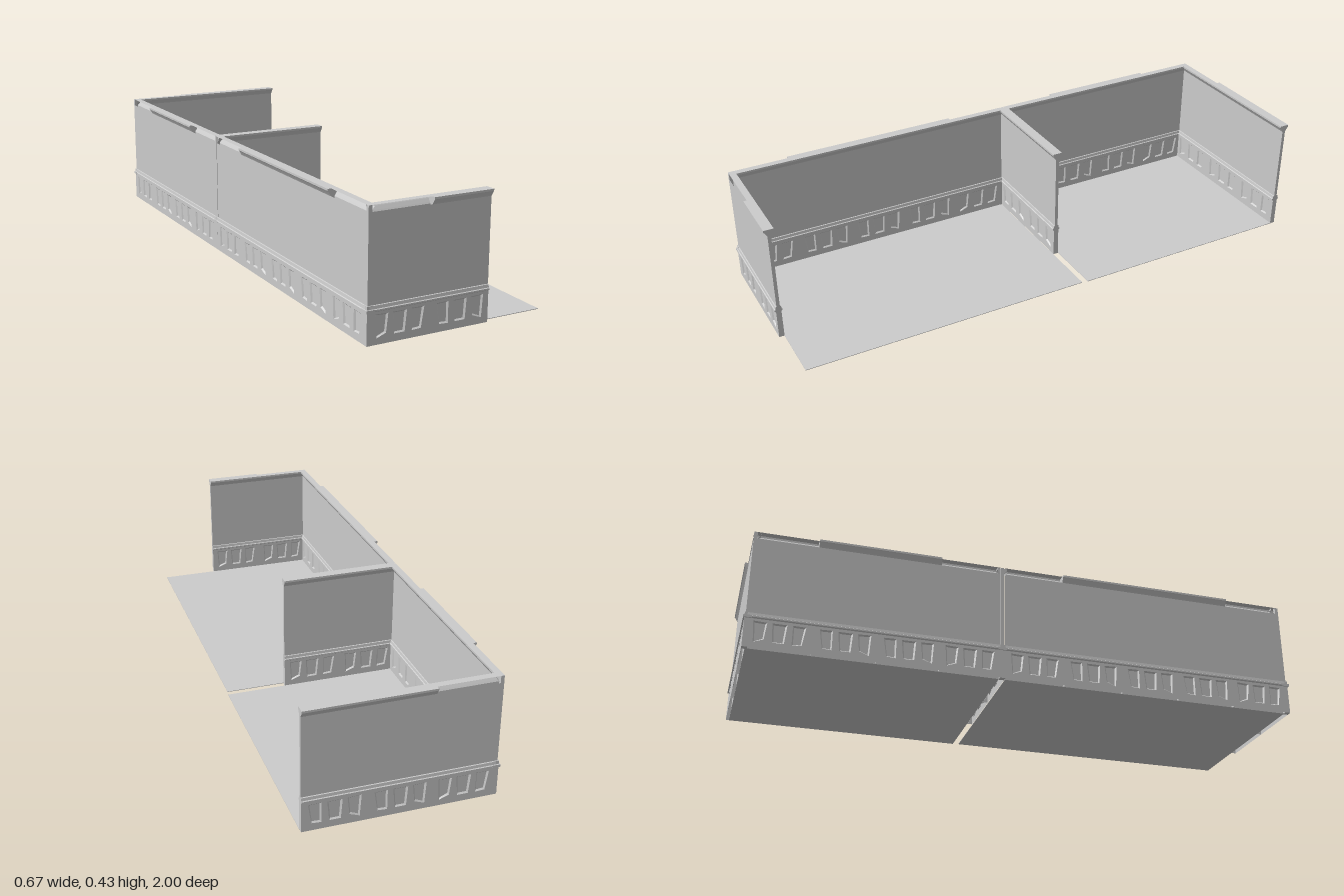
import * as THREE from 'three';
import { mergeGeometries } from 'three/addons/utils/BufferGeometryUtils.js';

const MODULE = 0.216, TOP = 0.434, DADO = 0.105, DADO_D = 0.0095, WALL_D = 0.006;
const mat = new THREE.MeshStandardMaterial({ color: 0xcccccc, flatShading: true, side: THREE.DoubleSide });

// Half profiles [distance from wall centre, height]
const chairRail = [[DADO_D, DADO], [0.014, 0.108], [0.014, 0.113], [0.011, 0.115], [0.0095, 0.125], [WALL_D, 0.126]];
const wallFace = [[WALL_D, 0.126], [WALL_D, 0.409]];
const cornice = [[WALL_D, 0.409], [0.009, 0.414], [0.0155, 0.424], [0.018, 0.427], [0.018, TOP]];

// Crooked dado panels, as corners relative to the middle of a module
const panels = [
  [[-0.086, 0.095], [-0.042, 0.096], [-0.042, 0.024], [-0.075, 0.026]],
  [[-0.024, 0.095], [0.026, 0.095], [0.021, 0.025], [-0.017, 0.025]],
  [[0.042, 0.095], [0.088, 0.097], [0.083, 0.020], [0.049, 0.033]],
];

function quadGeometry(points, flip) {
  const order = flip ? [0, 2, 1, 0, 3, 2] : [0, 1, 2, 0, 2, 3];
  const geo = new THREE.BufferGeometry();
  geo.setAttribute('position', new THREE.Float32BufferAttribute(order.flatMap(i => points[i]), 3));
  return geo;
}

function bare(geo) {
  const g = geo.index ? geo.toNonIndexed() : geo;
  g.deleteAttribute('uv');
  g.deleteAttribute('normal');
  return g;
}

// Profile swept straight along one module; side is 1 outside, -1 inside
function sweep(profile, u0, side) {
  const u1 = u0 + MODULE;
  return profile.slice(1).map(([d, y], i) => {
    const [d0, y0] = profile[i];
    return quadGeometry([[u0, y0, side * d0], [u1, y0, side * d0], [u1, y, side * d], [u0, y, side * d]], side < 0);
  });
}

// Dado board with sunken, bevelled panels
function dado(u0, side, flip) {
  const parts = [], mid = u0 + MODULE / 2;
  const board = new THREE.Shape([[u0, 0], [u0 + MODULE, 0], [u0 + MODULE, DADO], [u0, DADO]].map(p => new THREE.Vector2(...p)));
  for (const panel of panels) {
    let rim = panel.map(([x, y]) => [mid + (flip ? -x : x), y]);
    if (flip) rim = [rim[1], rim[0], rim[3], rim[2]];
    board.holes.push(new THREE.Path(rim.map(p => new THREE.Vector2(...p))));
    const cx = rim.reduce((s, p) => s + p[0], 0) / 4, cy = rim.reduce((s, p) => s + p[1], 0) / 4;
    const outer = rim.map(([x, y]) => [x, y, side * DADO_D]);
    const inner = rim.map(([x, y]) => [cx + (x - cx) * 0.76, cy + (y - cy) * 0.87, side * (DADO_D - 0.005)]);
    for (let i = 0; i < 4; i++) {
      const j = (i + 1) % 4;
      parts.push(quadGeometry([outer[i], inner[i], inner[j], outer[j]], side < 0));
    }
    parts.push(quadGeometry(inner, side > 0));
  }
  const face = bare(new THREE.ShapeGeometry(board));
  face.translate(0, 0, DADO_D);
  if (side < 0) {
    // Mirror to the inner side and reverse the corner order
    const p = face.attributes.position, pts = [];
    for (let i = 0; i < p.count; i += 3)
      for (const k of [i, i + 2, i + 1]) pts.push(p.getX(k), p.getY(k), -p.getZ(k));
    face.setAttribute('position', new THREE.Float32BufferAttribute(pts, 3));
  }
  parts.push(face);
  return parts;
}

// Solid end of a wall with cornices on both sides
function endCap(u) {
  const half = [[DADO_D, 0], ...chairRail, ...wallFace.slice(1), ...cornice.slice(1)];
  const outline = [...half, ...half.map(([d, y]) => [-d, y]).reverse()];
  const geo = bare(new THREE.ShapeGeometry(new THREE.Shape(outline.map(p => new THREE.Vector2(...p)))));
  geo.rotateY(Math.PI / 2);
  return geo.translate(u, 0, 0);
}

// Pattern: F has a cornice on both sides, P only inside
function makeWall(name, pattern, x, z, turn, flipInside) {
  const group = new THREE.Group();
  group.name = name;
  const dados = [], faces = [], trims = [], ends = [];
  [...pattern].forEach((type, i) => {
    const u0 = i * MODULE, u1 = u0 + MODULE, full = type === 'F';
    for (const side of [1, -1]) {
      dados.push(...dado(u0, side, side > 0 ? !full : full && flipInside));
      faces.push(...sweep(wallFace, u0, side));
      trims.push(...sweep(chairRail, u0, side));
      if (full || side < 0) trims.push(...sweep(cornice, u0, side));
    }
    const d = full ? 0.018 : WALL_D;
    trims.push(quadGeometry([[u0, TOP, d], [u1, TOP, d], [u1, TOP, -0.018], [u0, TOP, -0.018]]));
    if (full) ends.push(endCap(u0), endCap(u1));
  });
  const add = (part, list) => {
    if (!list.length) return;
    const geo = mergeGeometries(list);
    geo.computeVertexNormals();
    const mesh = new THREE.Mesh(geo, mat);
    mesh.name = part;
    group.add(mesh);
  };
  add('panelledDado', dados);
  add('wallFaces', faces);
  add('railAndCornice', trims);
  add('wallEnds', ends);
  group.position.set(x, 0, z);
  group.rotation.y = turn;
  return group;
}

function box(name, x0, x1, y0, y1, z0, z1) {
  const mesh = new THREE.Mesh(new THREE.BoxGeometry(x1 - x0, y1 - y0, z1 - z0), mat);
  mesh.name = name;
  mesh.position.set((x0 + x1) / 2, (y0 + y1) / 2, (z0 + z1) / 2);
  return mesh;
}

export function createModel() {
  const model = new THREE.Group();
  model.name = 'twoRoomSet';

  // Floors of the two rooms
  model.add(box('frontFloor', -0.312, 0.331, 0, 0.002, -0.098, 0.972));
  model.add(box('backFloor', -0.312, 0.334, 0, 0.002, -0.98, -0.12));

  // Walls: two cross walls, the back wall and the long side
  model.add(makeWall('frontWall', 'PF', -0.317, 0.981, 0, false));
  model.add(makeWall('middleWall', 'FF', -0.317, -0.11, 0, false));
  model.add(makeWall('backWall', 'FFP', 0.333, -0.982, Math.PI, false));
  model.add(makeWall('frontRoomSideWall', 'PFFFP', -0.316, -0.1, -Math.PI / 2, true));
  model.add(makeWall('backRoomSideWall', 'PFFP', -0.316, -0.982, -Math.PI / 2, true));

  // Posts closing the corners and the joint between rooms
  for (const z of [0.981, -0.11, -0.982]) {
    const post = new THREE.Group();
    post.name = 'cornerPost';
    for (const [r, y0, y1] of [[DADO_D, 0, DADO], [0.014, DADO, 0.114], [DADO_D, 0.114, 0.126], [WALL_D, 0.126, TOP]])
      post.add(box('postSection', -0.316 - r, -0.316 + r, y0, y1, z - r, z + r));
    model.add(post);
  }
  return model;
}
